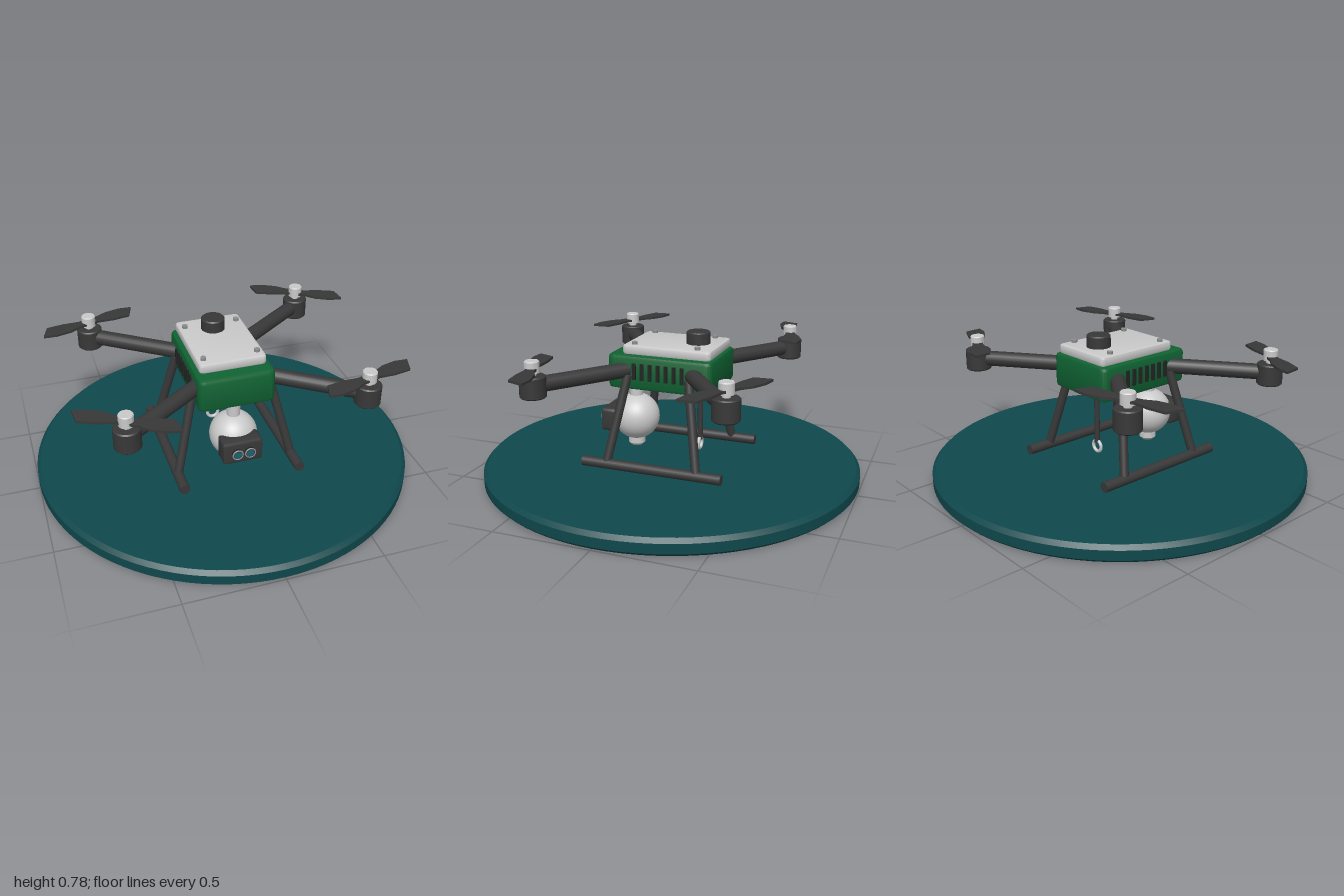
import * as THREE from 'three';
import { toCreasedNormals } from 'three/addons/utils/BufferGeometryUtils.js';

const mat = (name, color) => Object.assign(new THREE.MeshStandardMaterial({ color }), { name });

export function createModel() {
  const model = new THREE.Group();
  model.name = 'quadcopterOnPad';

  const teal = mat('padTeal', 0x0f484c);
  const green = mat('bodyGreen', 0x0f6232);
  const dark = mat('darkGrey', 0x383838);
  const black = mat('ventBlack', 0x222423);
  const light = mat('lightGrey', 0xcacaca);
  const steel = mat('boltGrey', 0x8c8e90);
  const glass = mat('lensTeal', 0x1d6470);

  const add = (name, geometry, material, x = 0, y = 0, z = 0, parent = model) => {
    const mesh = new THREE.Mesh(geometry, material);
    mesh.name = name;
    mesh.position.set(x, y, z);
    parent.add(mesh);
    return mesh;
  };

  // Upright turned part from [radius, y] points, with sharp profile edges
  const turned = (points, segments = 32) => toCreasedNormals(
    new THREE.LatheGeometry(points.map(([r, y]) => new THREE.Vector2(r, y)), segments), 0.5);

  // Round rod between two points
  const rod = (name, a, b, radius, material) => {
    const from = new THREE.Vector3(...a), to = new THREE.Vector3(...b);
    const dir = to.clone().sub(from);
    const mesh = add(name, new THREE.CylinderGeometry(radius, radius, dir.length(), 20), material);
    mesh.position.copy(from).lerp(to, 0.5);
    mesh.quaternion.setFromUnitVectors(new THREE.Vector3(0, 1, 0), dir.normalize());
    return mesh;
  };

  // Slab with rounded corners in plan and chamfered rims, standing on y = 0
  const slab = (w, h, d, r, bevel) => {
    const s = new THREE.Shape(), x = w / 2, y = d / 2;
    s.moveTo(-x + r, -y).lineTo(x - r, -y).quadraticCurveTo(x, -y, x, -y + r);
    s.lineTo(x, y - r).quadraticCurveTo(x, y, x - r, y);
    s.lineTo(-x + r, y).quadraticCurveTo(-x, y, -x, y - r);
    s.lineTo(-x, -y + r).quadraticCurveTo(-x, -y, -x + r, -y);
    const g = new THREE.ExtrudeGeometry(s, {
      depth: h - 2 * bevel, bevelThickness: bevel, bevelSize: bevel,
      bevelOffset: -bevel, bevelSegments: 2, curveSegments: 4,
    });
    return toCreasedNormals(g.translate(0, 0, bevel).rotateX(-Math.PI / 2), 0.5);
  };

  // Landing pad
  add('landingPad', turned([[0, 0], [0.985, 0], [1, 0.015], [1, 0.065], [0.98, 0.085], [0, 0.085]], 96), teal);

  // Body, top plate, bolts and antenna puck
  add('body', slab(0.4, 0.18, 0.565, 0.04, 0.02), green, 0, 0.49, 0);
  add('topPlate', slab(0.35, 0.05, 0.475, 0.025, 0.012), light, 0, 0.668, -0.03);
  for (const x of [-0.14, 0.14]) {
    for (const z of [-0.19, 0.15]) {
      add('plateBolt', new THREE.CylinderGeometry(0.015, 0.015, 0.02, 12), steel, x, 0.722, z);
    }
  }
  add('antennaPuck', turned([[0, 0], [0.062, 0], [0.062, 0.062], [0.056, 0.068], [0, 0.068]]), dark, 0, 0.713, -0.145);

  // Side vents
  for (const side of [-1, 1]) {
    for (let i = -3; i <= 3; i++) {
      add('sideVent', new THREE.BoxGeometry(0.02, 0.085, 0.018), black, side * 0.2, 0.59, i * 0.043);
    }
  }

  // Arms, motors and propellers
  const blade = new THREE.Shape([
    [0, -0.028], [0.06, -0.03], [0.12, -0.05], [0.2, -0.052], [0.268, -0.033],
    [0.22, 0.045], [0.13, 0.04], [0.05, 0.022], [0, 0.028],
  ].map(([x, z]) => new THREE.Vector2(x, -z)));
  const bladeMirror = new THREE.Shape(blade.getPoints().map((p) => new THREE.Vector2(p.x, -p.y)));
  const bladeGeometry = (shape) =>
    new THREE.ExtrudeGeometry(shape, { depth: 0.012, bevelEnabled: false }).rotateX(-Math.PI / 2);
  const bladeA = bladeGeometry(blade), bladeB = bladeGeometry(bladeMirror);
  const motor = turned([[0, 0], [0.06, 0], [0.066, 0.006], [0.066, 0.104], [0.06, 0.11], [0, 0.11]]);
  const hub = turned([[0, 0], [0.02, 0], [0.02, 0.015], [0.037, 0.015], [0.037, 0.068], [0.033, 0.073], [0, 0.073]], 20);

  for (const sx of [-1, 1]) {
    for (const sz of [-1, 1]) {
      const x = sx * 0.6, z = sz * 0.485;
      rod('arm', [sx * 0.14, 0.59, sz * 0.15], [x, 0.59, z], 0.04, dark);
      add('motor', motor, dark, x, 0.53, z);
      const propeller = new THREE.Group();
      propeller.name = 'propeller';
      propeller.position.set(x, 0.64, z);
      const same = sx * sz > 0;
      propeller.rotation.y = same ? 0.24 : -0.48;
      model.add(propeller);
      add('propellerHub', hub, light, 0, 0, 0, propeller);
      for (const turn of [0, Math.PI]) {
        add('propellerBlade', same ? bladeA : bladeB, dark, 0, 0.027, 0, propeller).rotation.y = turn;
      }
      // Landing leg below each arm
      rod('landingLeg', [sx * 0.2, 0.57, sz * 0.165], [sx * 0.31, 0.113, sz * 0.245], 0.023, dark);
    }
    // Skid
    rod('skid', [sx * 0.31, 0.113, -0.378], [sx * 0.31, 0.113, 0.378], 0.027, dark);
  }

  // Camera ball on its neck
  add('cameraNeck', new THREE.CylinderGeometry(0.035, 0.035, 0.13, 24), light, 0, 0.445, 0.205);
  add('cameraBall', new THREE.SphereGeometry(0.125, 40, 28), light, 0, 0.285, 0.205);
  add('ballBottomCap', turned([[0, 0], [0.03, 0], [0.045, 0.015], [0.045, 0.05], [0, 0.05]]), light, 0, 0.12, 0.205);

  // Camera housing with two lenses
  const housing = slab(0.21, 0.1, 0.125, 0.02, 0.012).rotateX(Math.PI / 2);
  add('cameraHousing', housing, dark, 0, 0.275, 0.27);
  for (const x of [-0.033, 0.033]) {
    const barrel = new THREE.CylinderGeometry(0.027, 0.027, 0.03, 24).rotateX(Math.PI / 2);
    add('lensBarrel', barrel, black, x, 0.275, 0.373);
    add('lensRing', new THREE.TorusGeometry(0.026, 0.004, 8, 24), steel, x, 0.275, 0.386);
    add('lensGlass', new THREE.CircleGeometry(0.021, 24), glass, x, 0.275, 0.389);
  }

  // Rear cargo hook
  rod('hookRod', [0, 0.195, -0.16], [0, 0.5, -0.16], 0.014, dark);
  add('hookRing', new THREE.TorusGeometry(0.03, 0.009, 10, 28), light, 0, 0.175, -0.16);

  return model;
}
